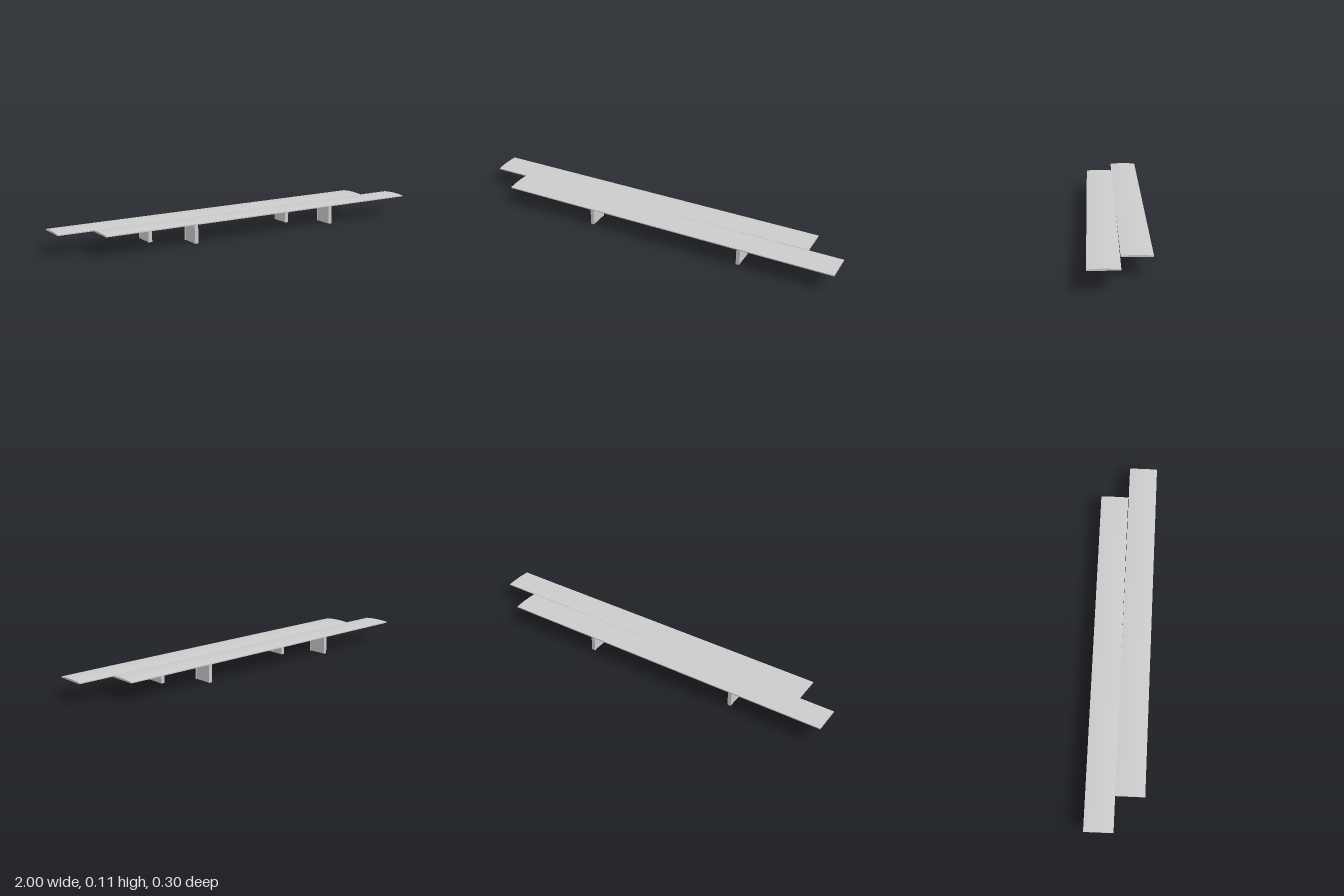
import * as THREE from 'three';

const material = new THREE.MeshStandardMaterial({ color: 0xcccccc });
const DECK_LENGTH = 1.82, DECK_BOTTOM = 0.1;

// Extrudes a closed outline with a level centre line along the given axis.
function extruded(points, depth, name) {
  const shape = new THREE.Shape(points.map(([x, y]) => new THREE.Vector2(x, y)));
  const geometry = new THREE.ExtrudeGeometry(shape, { depth, bevelEnabled: false });
  const mesh = new THREE.Mesh(geometry, material);
  mesh.name = name;
  return mesh;
}

// Thin slab with a slightly cambered top
function createDeck(width) {
  const w = width / 2, n = 12;
  const outline = [[-w, DECK_BOTTOM], [w, DECK_BOTTOM]];
  for (let i = 0; i <= n; i++) {
    const t = 1 - (2 * i) / n;
    outline.push([w * t, 0.1055 + 0.004 * (1 - t * t)]);
  }
  const deck = extruded(outline, DECK_LENGTH, 'deck');
  deck.geometry.translate(0, 0, -DECK_LENGTH / 2).rotateY(Math.PI / 2);
  return deck;
}

// Upright pier with a narrow flange on each side of the web
function createPier() {
  const f = 0.01, w = 0.0515, t = 0.005, web = 0.0075;
  const outline = [
    [-f, -w], [f, -w], [f, -w + t], [web, -w + t], [web, w - t], [f, w - t],
    [f, w], [-f, w], [-f, w - t], [-web, w - t], [-web, -w + t], [-f, -w + t],
  ];
  const pier = extruded(outline, DECK_BOTTOM + 0.002, 'pier');
  pier.geometry.rotateX(-Math.PI / 2);
  return pier;
}

// One deck carried by two piers
function createSpan(name, width, x, z, yaw) {
  const span = new THREE.Group();
  span.name = name;
  span.add(createDeck(width));
  for (const side of [-1, 1]) {
    const pier = createPier();
    pier.position.set(side * 0.415, 0, 0.002);
    span.add(pier);
  }
  span.position.set(x, 0, z);
  span.rotation.y = yaw;
  return span;
}

export function createModel() {
  const model = new THREE.Group();
  model.name = 'twinSpanBridge';
  // Two staggered spans side by side, the rear one very slightly turned
  model.add(createSpan('frontSpan', 0.149, 0.09, 0.0745, 0));
  model.add(createSpan('rearSpan', 0.147, -0.09, -0.0735, 0.0025));
  return model;
}
